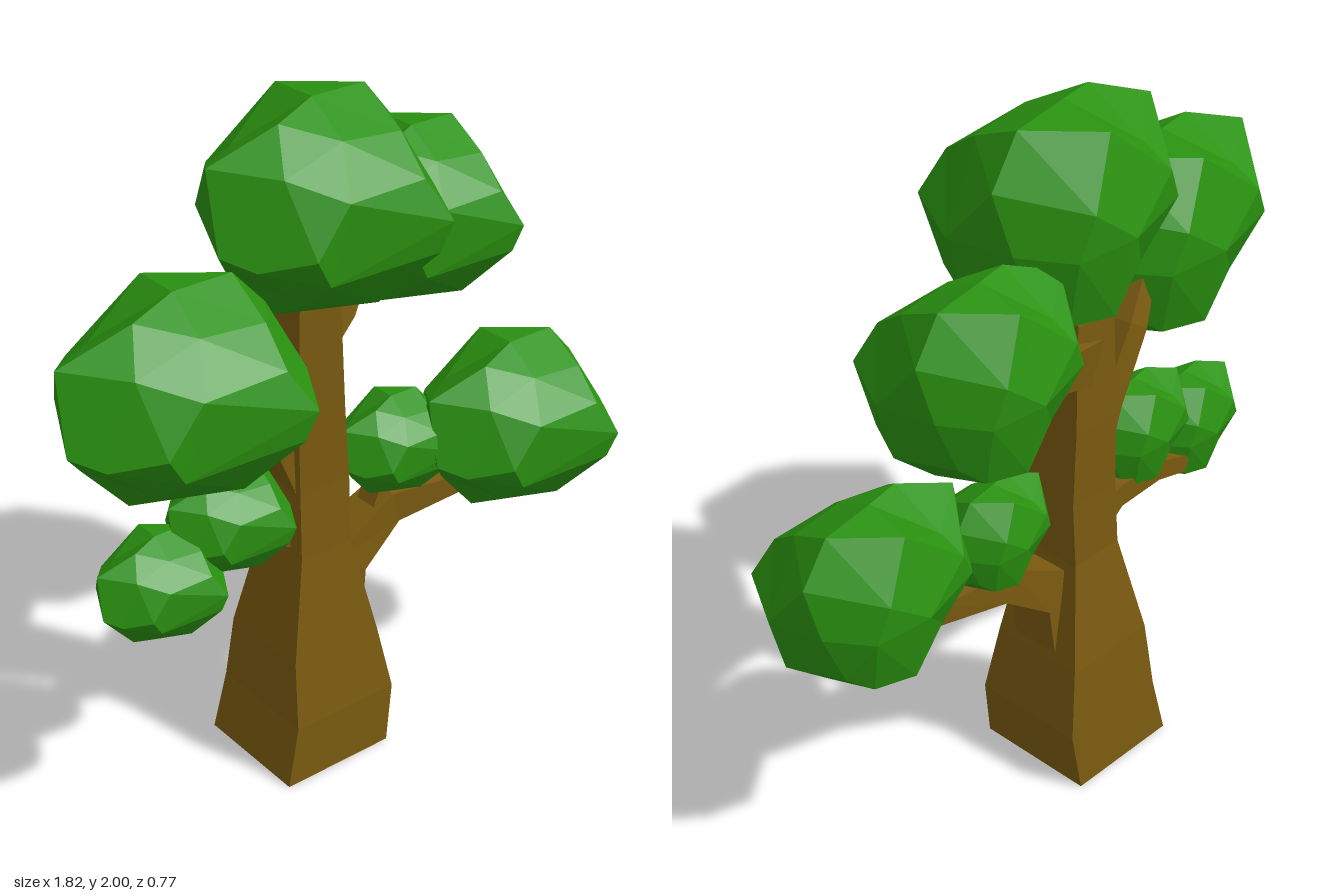
import * as THREE from 'three';
import { ConvexGeometry } from 'three/addons/geometries/ConvexGeometry.js';

const bark = new THREE.MeshStandardMaterial({ color: 0x7a5a10, flatShading: true });
const leaf = new THREE.MeshStandardMaterial({ color: 0x2a9210, flatShading: true });

// Skin over a stack of four-cornered rings, closed at both ends
function loft(rings) {
  const index = [];
  for (let r = 0; r < rings.length - 1; r++) {
    for (let i = 0; i < 4; i++) {
      const a = r * 4 + i, b = r * 4 + (i + 1) % 4;
      index.push(a, b, b + 4, a, b + 4, a + 4);
    }
  }
  const e = (rings.length - 1) * 4;
  index.push(0, 2, 1, 0, 3, 2, e, e + 1, e + 2, e, e + 2, e + 3);
  const geometry = new THREE.BufferGeometry().setFromPoints(rings.flat());
  geometry.setIndex(index);
  const flat = geometry.toNonIndexed();
  flat.computeVertexNormals();
  return flat;
}

// Tapered square branch; each stop is [x, y, z, half thickness]
function branchGeometry(stops) {
  const pts = stops.map(([x, y, z]) => new THREE.Vector3(x, y, z));
  return loft(pts.map((p, i) => {
    const t = pts[Math.min(i + 1, pts.length - 1)].clone().sub(pts[Math.max(i - 1, 0)]).normalize();
    const side = new THREE.Vector3(0, 0, 1).addScaledVector(t, -t.z).normalize();
    const up = t.clone().cross(side);
    const r = stops[i][3];
    return [[1, 1], [-1, 1], [-1, -1], [1, -1]].map(([s, u]) =>
      p.clone().addScaledVector(side, s * r).addScaledVector(up, u * r));
  }));
}

// Corners of the faceted leaf clump, in a -1..1 box
const clumpCorners = [
  // crown
  [.05, 1, -.1], [-.36, .93, .06], [.58, .95, -.15], [.1, .92, -.72], [-.92, .66, -.1],
  [-.43, .54, -.56], [.89, .52, -.2], [0, .78, .42], [-.55, .62, .45], [.55, .7, .42],
  [.5, .42, .84], [-.2, .43, .84], [.45, .38, -.95], [-.5, .33, -.82],
  // waist
  [-1, -.02, .2], [-.64, 0, -.76], [.04, 0, -1], [.58, -.03, -.9], [.87, 0, -.43],
  [1, 0, .25], [.68, .02, 1], [-.5, 0, .85], [-.82, -.12, .48],
  // underside
  [.94, -.56, .1], [.55, -.94, 0], [.07, -1, -.22], [-.43, -.85, 0], [-.81, -.31, 0],
  [.1, -.8, -.82], [.5, -.75, -.7], [-.4, -.58, -.58], [.3, -.8, .5], [.6, -.27, .93],
  [-.35, -.3, .8], [-.36, -.6, .45], [.75, -.5, .6], [.73, -.53, -.58],
].map(c => new THREE.Vector3(...c));

// Facets are laid out on a sphere, then each corner is set to its own distance, which allows dents
function clumpGeometry() {
  const directions = clumpCorners.map(c => c.clone().normalize());
  const geometry = new ConvexGeometry(directions);
  const position = geometry.attributes.position;
  const v = new THREE.Vector3();
  for (let i = 0; i < position.count; i++) {
    v.fromBufferAttribute(position, i);
    const k = directions.findIndex(d => d.distanceTo(v) < 1e-3);
    position.setXYZ(i, ...clumpCorners[k]);
  }
  geometry.computeVertexNormals();
  return geometry;
}

export function createModel() {
  const tree = new THREE.Group();
  const add = (name, geometry, material) => {
    const mesh = new THREE.Mesh(geometry, material);
    mesh.name = name;
    tree.add(mesh);
    return mesh;
  };

  // Trunk: [y, x min, x max, z min, z max]
  const trunk = [
    [0, -.215, .135, -.25, .105],
    [.18, -.178, .157, -.237, .1],
    [.38, -.165, .122, -.212, .073],
    [.68, -.108, .06, -.155, .03],
    [.88, -.1, .066, -.15, .015],
    [1.1, -.1, .055, -.15, .01],
    [1.42, -.095, .04, -.14, .01],
    [1.55, -.08, .03, -.12, 0],
  ].map(([y, x0, x1, z0, z1]) =>
    [[x1, z1], [x1, z0], [x0, z0], [x0, z1]].map(([x, z]) => new THREE.Vector3(x, y, z)));
  add('trunk', loft(trunk), bark);

  // Branches
  const branches = {
    lowerLeftBranch: [[.04, .38, -.06, .075], [.07, .585, -.055, .07], [.25, .695, -.05, .05], [.46, .69, -.02, .03], [.58, .72, .02, .025]],
    lowerLeftTwig: [[.2, .68, -.05, .035], [.25, .77, -.06, .035], [.26, .83, -.06, .02]],
    lowerRightBranch: [[-.03, .73, -.07, .06], [-.18, .765, -.07, .035], [-.36, .75, -.06, .03], [-.47, .72, -.07, .025]],
    upperRightBranch: [[-.05, .9, -.06, .055], [-.13, 1.08, -.06, .045], [-.25, 1.27, -.05, .04], [-.33, 1.36, -.02, .03]],
    upperLeftBranch: [[-.02, 1.29, -.08, .065], [.12, 1.34, -.13, .055], [.24, 1.38, -.21, .045], [.3, 1.44, -.21, .03]],
  };
  for (const [name, stops] of Object.entries(branches)) add(name, branchGeometry(stops), bark);

  // Foliage: name, centre, half size
  const clump = clumpGeometry();
  [
    ['topFoliage', [-.045, 1.705, .005], [.335, .295, .275]],
    ['upperRightFoliage', [-.56, 1.395, .122], [.35, .285, .26]],
    ['upperLeftFoliage', [.408, 1.485, -.15], [.285, .255, .235]],
    ['lowerLeftFoliage', [.61, .85, .05], [.3, .25, .23]],
    ['innerLeftFoliage', [.262, .868, -.045], [.175, .15, .135]],
    ['outerRightFoliage', [-.572, .785, .02], [.185, .155, .14]],
    ['innerRightFoliage', [-.335, .885, 0], [.185, .155, .14]],
  ].forEach(([name, centre, half]) => {
    const mesh = add(name, clump, leaf);
    mesh.position.set(...centre);
    mesh.scale.set(...half);
  });

  return tree;
}
